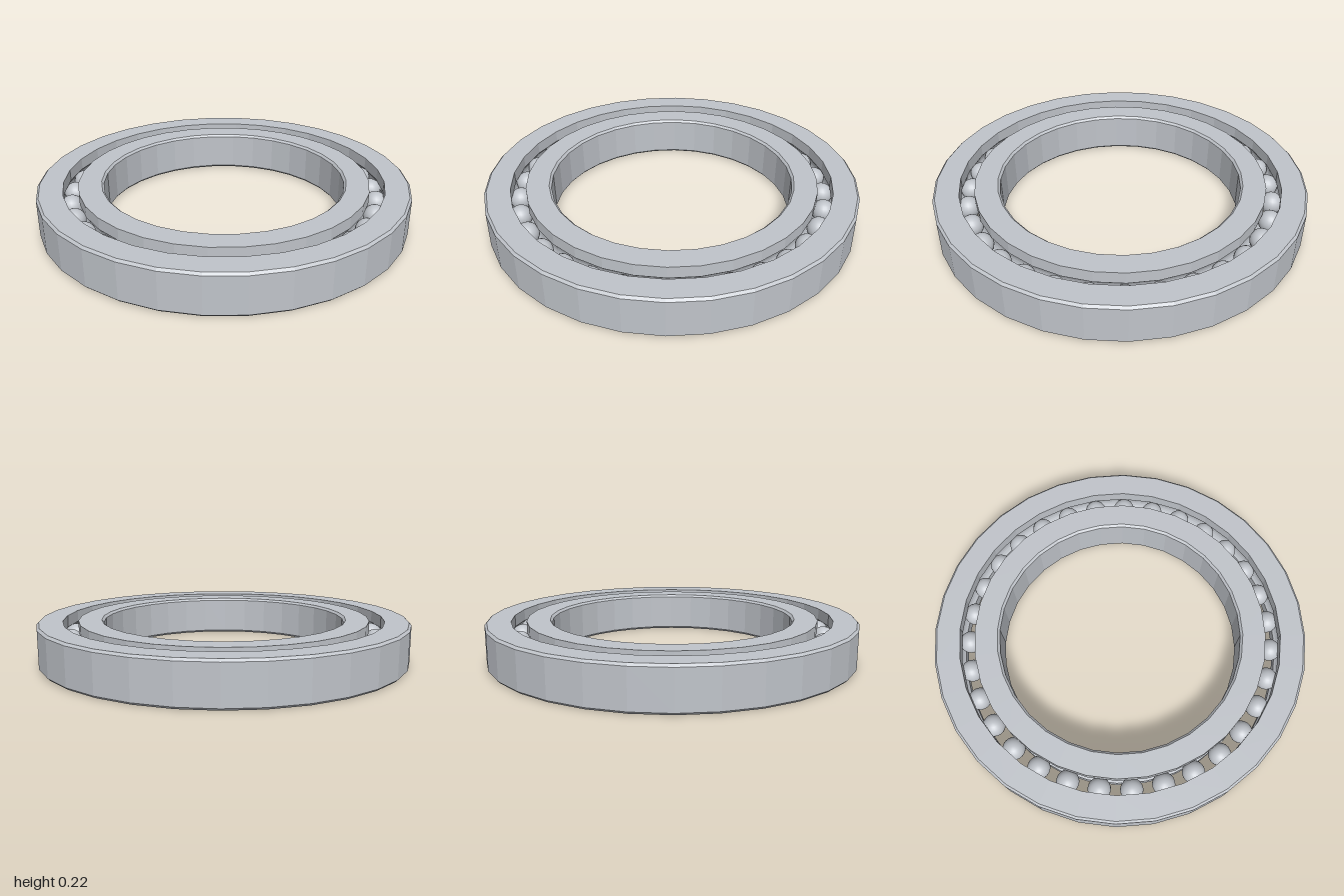
import * as THREE from 'three';

const HEIGHT = 0.22, MID = HEIGHT / 2, CHAMFER = 0.012;
const BALLS = 31, BALL_RADIUS = 0.06, PITCH_RADIUS = 0.824, GROOVE_RADIUS = 0.062;

// Points of the ball groove, where the groove circle cuts a race wall at radius wall
function groove(wall) {
  const offset = wall - PITCH_RADIUS;
  const side = Math.sign(offset);
  const half = Math.acos(Math.abs(offset) / GROOVE_RADIUS);
  const points = [];
  for (let i = 0; i <= 8; i++) {
    const a = -half + (2 * half * i) / 8;
    points.push([PITCH_RADIUS + side * GROOVE_RADIUS * Math.cos(a), MID + GROOVE_RADIUS * Math.sin(a)]);
  }
  return points;
}

// Faceted ring turned from a closed profile
function ring(name, profile, material) {
  const points = [...profile, profile[0]].map(([r, y]) => new THREE.Vector2(r, y));
  const geometry = new THREE.LatheGeometry(points, 32).toNonIndexed();
  geometry.computeVertexNormals();
  const mesh = new THREE.Mesh(geometry, material);
  mesh.name = name;
  return mesh;
}

export function createModel() {
  const model = new THREE.Group();
  model.name = 'ballBearing';
  const steel = new THREE.MeshStandardMaterial({ color: 0xc0c4ca });
  steel.name = 'steel';

  // Outer race: chamfered rim outside, groove inside
  const outerWall = 0.864;
  model.add(ring('outerRace', [
    [1 - CHAMFER, 0], [1, CHAMFER], [1, HEIGHT - CHAMFER], [1 - CHAMFER, HEIGHT],
    [outerWall, HEIGHT], ...groove(outerWall).reverse(), [outerWall, 0],
  ], steel));

  // Inner race: groove outside, chamfered bore
  const innerWall = 0.784, bore = 0.65;
  model.add(ring('innerRace', [
    [innerWall, 0], ...groove(innerWall), [innerWall, HEIGHT],
    [bore + CHAMFER, HEIGHT], [bore, HEIGHT - CHAMFER], [bore, CHAMFER], [bore + CHAMFER, 0],
  ], steel));

  // Balls, evenly spaced from +x
  const balls = new THREE.Group();
  balls.name = 'balls';
  const ballGeometry = new THREE.SphereGeometry(BALL_RADIUS, 20, 14);
  for (let i = 0; i < BALLS; i++) {
    const a = (i / BALLS) * Math.PI * 2;
    const ball = new THREE.Mesh(ballGeometry, steel);
    ball.name = 'ball';
    ball.position.set(PITCH_RADIUS * Math.cos(a), MID, PITCH_RADIUS * Math.sin(a));
    ball.rotation.y = -a;
    balls.add(ball);
  }
  model.add(balls);
  return model;
}
